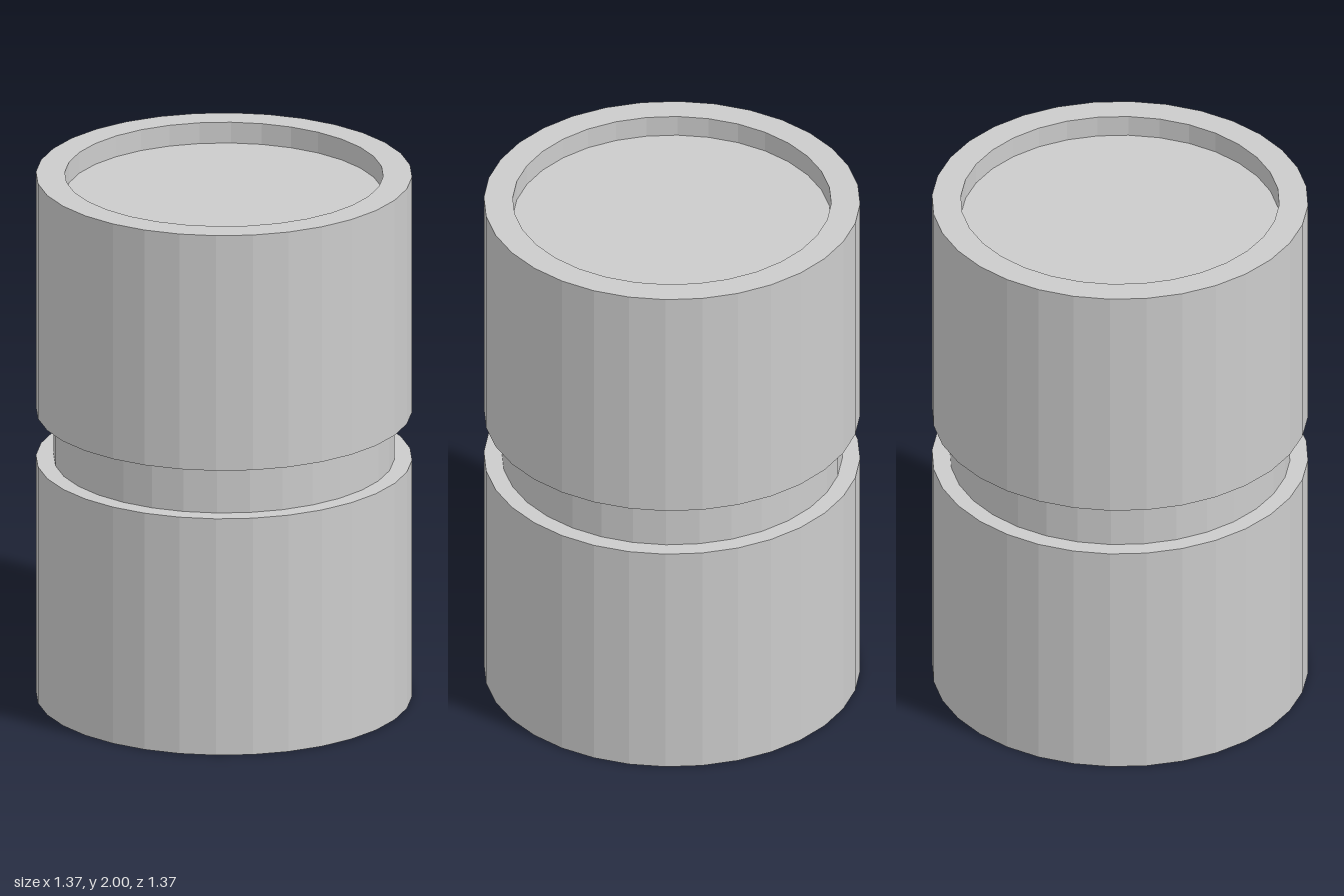
import * as THREE from 'three';

const SIDES = 32;
const HEIGHT = 2, OUTER = 0.685, RIM = 0.58, NECK = 0.62;
const RECESS = 0.08, NECK_BOTTOM = 0.91, NECK_TOP = 1.095;

export function createModel() {
  const group = new THREE.Group();
  group.name = 'groovedCylinder';
  const material = new THREE.MeshStandardMaterial({ color: 0xcccccc, flatShading: true });

  // Outer shell: bottom recess wall, lower drum, neck groove, upper drum, top recess wall
  const profile = [
    [RIM, RECESS], [RIM, 0], [OUTER, 0],
    [OUTER, NECK_BOTTOM], [NECK, NECK_BOTTOM],
    [NECK, NECK_TOP], [OUTER, NECK_TOP],
    [OUTER, HEIGHT], [RIM, HEIGHT], [RIM, HEIGHT - RECESS],
  ].map(([r, y]) => new THREE.Vector2(r, y));
  const shell = new THREE.Mesh(new THREE.LatheGeometry(profile, SIDES), material);
  shell.name = 'drumShell';
  group.add(shell);

  // Flat discs at the floor of each recess
  for (const [name, y, tilt] of [
    ['topDisc', HEIGHT - RECESS, -Math.PI / 2],
    ['bottomDisc', RECESS, Math.PI / 2],
  ]) {
    const disc = new THREE.Mesh(new THREE.CircleGeometry(RIM, SIDES), material);
    disc.name = name;
    disc.rotation.x = tilt;
    disc.position.y = y;
    group.add(disc);
  }

  return group;
}
